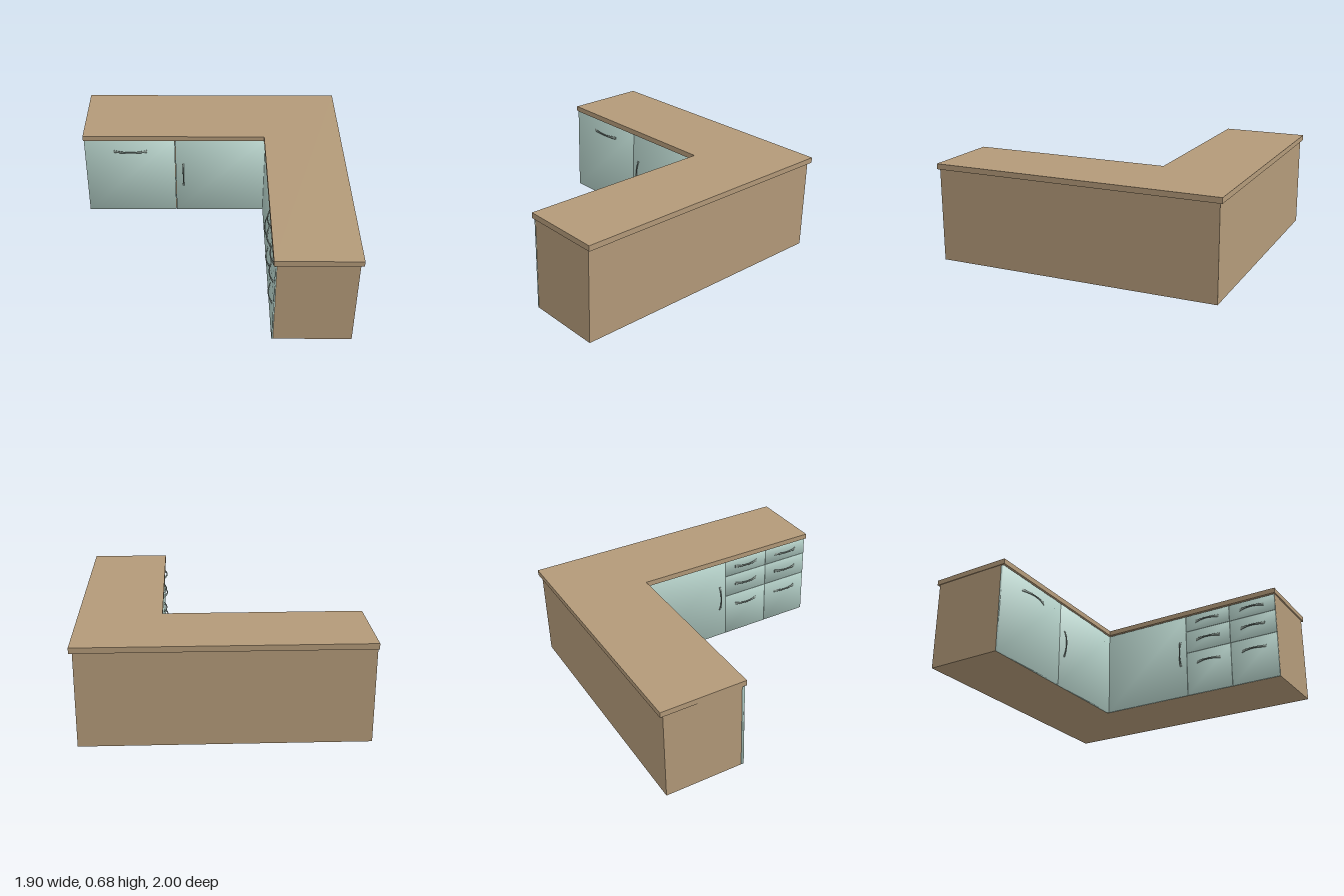
import * as THREE from 'three';

const mat = (name, color) => {
  const m = new THREE.MeshStandardMaterial({ color });
  m.name = name;
  return m;
};

export function createModel() {
  const group = new THREE.Group();
  group.name = 'cornerCounter';
  const wood = mat('wood', 0xb39a79);
  const teal = mat('paleTeal', 0xb5d1c9);
  const metal = mat('handleGrey', 0x87968f);

  // Box between two corners
  function box(name, material, [x0, y0, z0], [x1, y1, z1]) {
    const g = new THREE.BoxGeometry(x1 - x0, y1 - y0, z1 - z0);
    const mesh = new THREE.Mesh(g, material);
    mesh.position.set((x0 + x1) / 2, (y0 + y1) / 2, (z0 + z1) / 2);
    mesh.name = name;
    group.add(mesh);
    return mesh;
  }

  // Worktop, two runs meeting at the inner corner
  box('worktopBack', wood, [-0.95, 0.642, -1], [0.39, 0.68, -0.4]);
  box('worktopWing', wood, [0.39, 0.642, -1], [0.95, 0.68, 1]);

  // Cabinet bodies
  box('cabinetBack', wood, [-0.945, 0, -0.98], [0.41, 0.642, -0.43]);
  box('cabinetWing', wood, [0.41, 0, -0.98], [0.93, 0.642, 0.99]);

  // Door and drawer fronts, with soft normals blended across the corners
  function front(name, min, max) {
    const mesh = box(name, teal, min, max);
    const p = mesh.geometry.attributes.position;
    const n = mesh.geometry.attributes.normal;
    const thinX = max[0] - min[0] < 0.05;
    const v = new THREE.Vector3();
    for (let i = 0; i < p.count; i++) {
      v.set(Math.sign(p.getX(i)), Math.sign(p.getY(i)), Math.sign(p.getZ(i)));
      v.multiply(thinX ? new THREE.Vector3(1, 0.5, 0.5) : new THREE.Vector3(0.5, 0.5, 1)).normalize();
      n.setXYZ(i, v.x, v.y, v.z);
    }
  }

  // Bowed handle, pinched in the middle
  function handle(name, length, pos, vertical, onWing) {
    const g = new THREE.CylinderGeometry(1, 1, 2, 10, 16);
    g.rotateZ(Math.PI / 2);
    const p = g.attributes.position;
    for (let i = 0; i < p.count; i++) {
      const t = p.getX(i);
      p.setXYZ(i, t * length / 2,
        p.getY(i) * (0.006 + 0.006 * t * t),
        p.getZ(i) * 0.004 + 0.021 * (1 - t * t));
    }
    g.computeVertexNormals();
    if (vertical) g.rotateZ(Math.PI / 2).scale(0.7, 1, 1);
    if (onWing) g.rotateY(-Math.PI / 2);
    const mesh = new THREE.Mesh(g, metal);
    mesh.name = name;
    mesh.position.set(...pos);
    group.add(mesh);
  }

  // Back run: two doors
  const top = 0.636, zFace = -0.41, xFace = 0.4;
  front('leftDoor', [-0.945, 0, -0.43], [-0.272, top, zFace]);
  front('middleDoor', [-0.268, 0, -0.43], [xFace, top, zFace]);
  handle('leftDoorHandle', 0.25, [-0.605, 0.543, zFace], false, false);
  handle('middleDoorHandle', 0.205, [-0.212, 0.333, zFace], true, false);

  // Wing: corner door
  front('cornerDoor', [xFace, 0, -0.41], [0.411, top, 0.268]);
  handle('cornerDoorHandle', 0.2, [xFace, 0.335, 0.22], true, true);

  // Wing: two columns of three drawers
  const rows = [[0, 0.333, 0.245], [0.337, 0.508, 0.427], [0.512, top, 0.578]];
  for (const [z0, z1] of [[0.272, 0.628], [0.632, 0.99]]) {
    for (const [y0, y1, yHandle] of rows) {
      front('drawerFront', [xFace, y0, z0], [0.411, y1, z1]);
      handle('drawerHandle', 0.19, [xFace, yHandle, (z0 + z1) / 2], false, true);
    }
  }
  return group;
}
